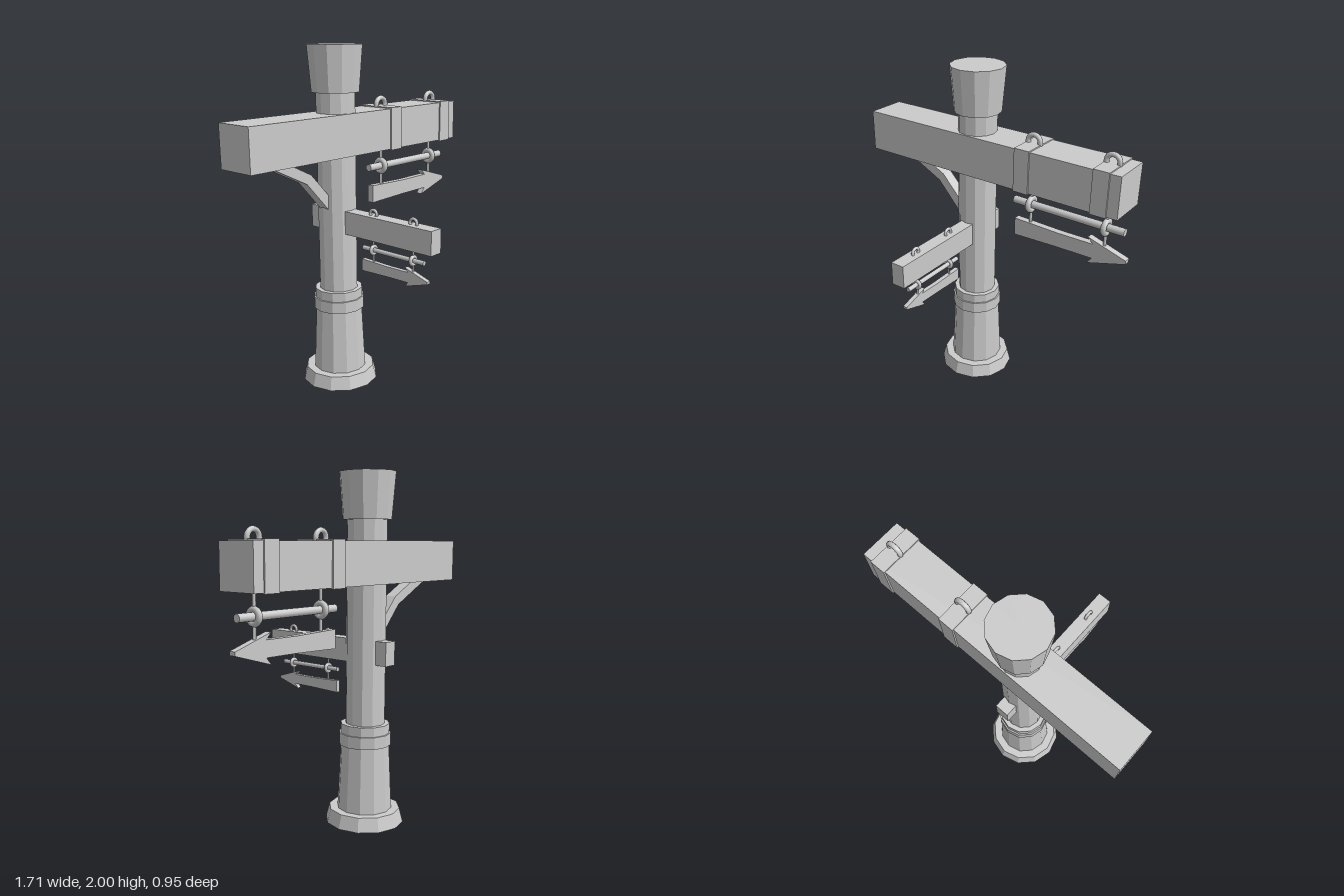
import * as THREE from 'three';

const POST_X = -0.145, POST_Z = -0.25;
const flat = new THREE.MeshStandardMaterial({ color: 0xcccccc, flatShading: true });
const smooth = new THREE.MeshStandardMaterial({ color: 0xcccccc });

function add(parent, name, geometry, x = 0, y = 0, z = 0, material = flat) {
  const mesh = new THREE.Mesh(geometry, material);
  mesh.name = name;
  mesh.position.set(x, y, z);
  parent.add(mesh);
  return mesh;
}

// Flat outline in the xy plane, extruded evenly to both sides of z = 0
function plate(points, depth) {
  const shape = new THREE.Shape(points.map(([x, y]) => new THREE.Vector2(x, y)));
  return new THREE.ExtrudeGeometry(shape, { depth, bevelEnabled: false }).translate(0, 0, -depth / 2);
}

// Hanging arrow sign; origin at the middle of the beam's underside, arrow points to +x
function hangingSign(name, { spacing, barLength, beamHeight, size, arrowSize, arrowY, barY }) {
  const sign = new THREE.Group();
  sign.name = name;

  const bar = add(sign, 'hangingBar', new THREE.CylinderGeometry(0.022 * size, 0.022 * size, barLength, 12), 0, barY, 0, smooth);
  bar.rotation.z = Math.PI / 2;

  const ringR = 0.036 * size, tube = 0.017 * size, rodR = 0.0095 * size;
  for (const x of [-spacing / 2, spacing / 2]) {
    // eye loop on top of the beam
    add(sign, 'topLoop', new THREE.TorusGeometry(0.039 * size, 0.015 * size, 8, 20), x, beamHeight + 0.015 * size, 0, smooth);
    // ring around the bar
    const ring = add(sign, 'barRing', new THREE.TorusGeometry(ringR, tube, 8, 20), x, barY, 0, smooth);
    ring.rotation.y = Math.PI / 2;
    // rods from beam to ring and from ring to arrow
    const upper = -barY - ringR + 0.02;
    add(sign, 'upperRod', new THREE.CylinderGeometry(rodR, rodR, upper, 8), x, 0.02 - upper / 2, 0, smooth);
    const top = barY - ringR, bottom = arrowY + 0.03 * size;
    add(sign, 'lowerRod', new THREE.CylinderGeometry(rodR, rodR, top - bottom, 8), x, (top + bottom) / 2, 0, smooth);
  }

  const outline = [
    [-0.333, -0.052], [-0.04, -0.043], [0.176, -0.041], [0.144, -0.079], [0.377, -0.01],
    [0.377, 0.011], [0.144, 0.083], [0.176, 0.048], [-0.04, 0.046], [-0.333, 0.054],
  ];
  const arrow = add(sign, 'arrow', plate(outline, 0.04), 0, arrowY, 0);
  arrow.scale.setScalar(arrowSize);
  return sign;
}

export function createModel() {
  const model = new THREE.Group();
  model.name = 'signpost';

  // Twelve-sided post with plinth, tapered foot, collar and flared cap
  const profile = [
    [0, 0], [0.228, 0], [0.207, 0.08], [0.159, 0.08], [0.141, 0.46], [0.151, 0.46], [0.151, 0.53],
    [0.142, 0.53], [0.142, 0.585], [0.114, 0.585], [0.114, 1.74], [0.138, 1.74], [0.159, 2], [0, 2],
  ].map(([r, y]) => new THREE.Vector2(r, y));
  add(model, 'post', new THREE.LatheGeometry(profile, 12), POST_X, 0, POST_Z);

  // Large beam across the post, with two bands
  add(model, 'mainBeam', new THREE.BoxGeometry(1.675, 0.24, 0.24), -0.0175, 1.505, POST_Z);
  for (const x of [0.237, 0.711]) {
    add(model, 'beamBand', new THREE.BoxGeometry(0.094, 0.252, 0.256), x, 1.506, POST_Z);
  }

  // Small beam running front to back through the post
  add(model, 'smallBeam', new THREE.BoxGeometry(0.083, 0.136, 0.901), POST_X, 1.003, 0.0265);

  // Bent brace below the large beam
  const brace = [
    [-0.68, 1.39], [-0.408, 1.255], [-0.23, 1.06], [-0.23, 1.147], [-0.376, 1.303], [-0.548, 1.39],
  ];
  add(model, 'brace', plate(brace, 0.07), 0, 0, POST_Z);

  // Hanging arrow signs
  const mainSign = hangingSign('mainSign', {
    spacing: 0.474, barLength: 0.696, beamHeight: 0.24, size: 1, arrowSize: 1, arrowY: -0.284, barY: -0.12,
  });
  mainSign.position.set(0.474, 1.385, POST_Z);
  const smallSign = hangingSign('smallSign', {
    spacing: 0.288, barLength: 0.442, beamHeight: 0.136, size: 0.61, arrowSize: 0.67, arrowY: -0.168, barY: -0.065,
  });
  smallSign.position.set(POST_X, 0.935, 0.18);
  smallSign.rotation.y = -Math.PI / 2;
  model.add(mainSign, smallSign);

  return model;
}
